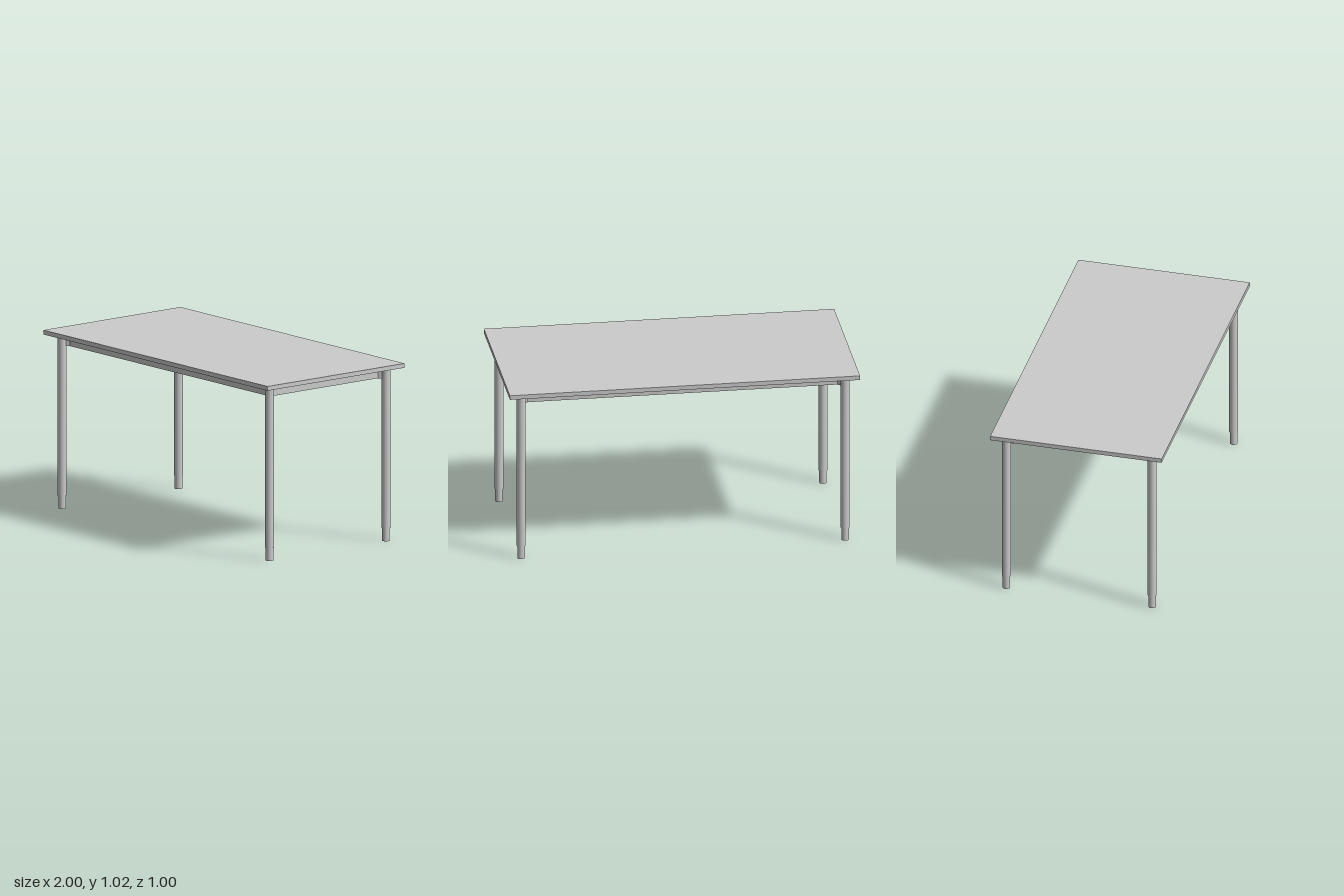
import * as THREE from 'three';

const material = new THREE.MeshStandardMaterial({ color: 0xcccccc });

function add(parent, name, geometry, x, y, z) {
  const mesh = new THREE.Mesh(geometry, material);
  mesh.name = name;
  mesh.position.set(x, y, z);
  parent.add(mesh);
  return mesh;
}

export function createModel() {
  const table = new THREE.Group();
  table.name = 'table';

  // Thin rectangular top
  add(table, 'tableTop', new THREE.BoxGeometry(2, 0.025, 1), 0, 1.0125, 0);

  // Rectangular frame of rails under the top
  const outline = (w, d, Type) => new Type([
    new THREE.Vector2(-w, -d), new THREE.Vector2(w, -d),
    new THREE.Vector2(w, d), new THREE.Vector2(-w, d),
  ]);
  const frameShape = outline(0.9, 0.4, THREE.Shape);
  frameShape.holes.push(outline(0.88, 0.38, THREE.Path));
  const frame = new THREE.ExtrudeGeometry(frameShape, { depth: 0.062, bevelEnabled: false });
  frame.rotateX(-Math.PI / 2);
  add(table, 'railFrame', frame, 0, 0.938, 0);

  // Legs with narrower adjustable feet, each joined diagonally to the frame
  for (const sx of [-1, 1]) {
    for (const sz of [-1, 1]) {
      const leg = new THREE.Group();
      leg.name = `${sz > 0 ? 'front' : 'back'}${sx > 0 ? 'Left' : 'Right'}Leg`;
      leg.position.set(sx * 0.925, 0, sz * 0.425);
      add(leg, 'legTube', new THREE.CylinderGeometry(0.025, 0.025, 0.925, 32), 0, 0.5375, 0);
      add(leg, 'foot', new THREE.CylinderGeometry(0.0215, 0.0215, 0.08, 32), 0, 0.04, 0);
      const joint = add(leg, 'cornerJoint', new THREE.BoxGeometry(0.03, 0.062, 0.021),
        -sx * 0.021, 0.969, -sz * 0.021);
      joint.rotation.y = -sx * sz * Math.PI / 4;
      table.add(leg);
    }
  }
  return table;
}
